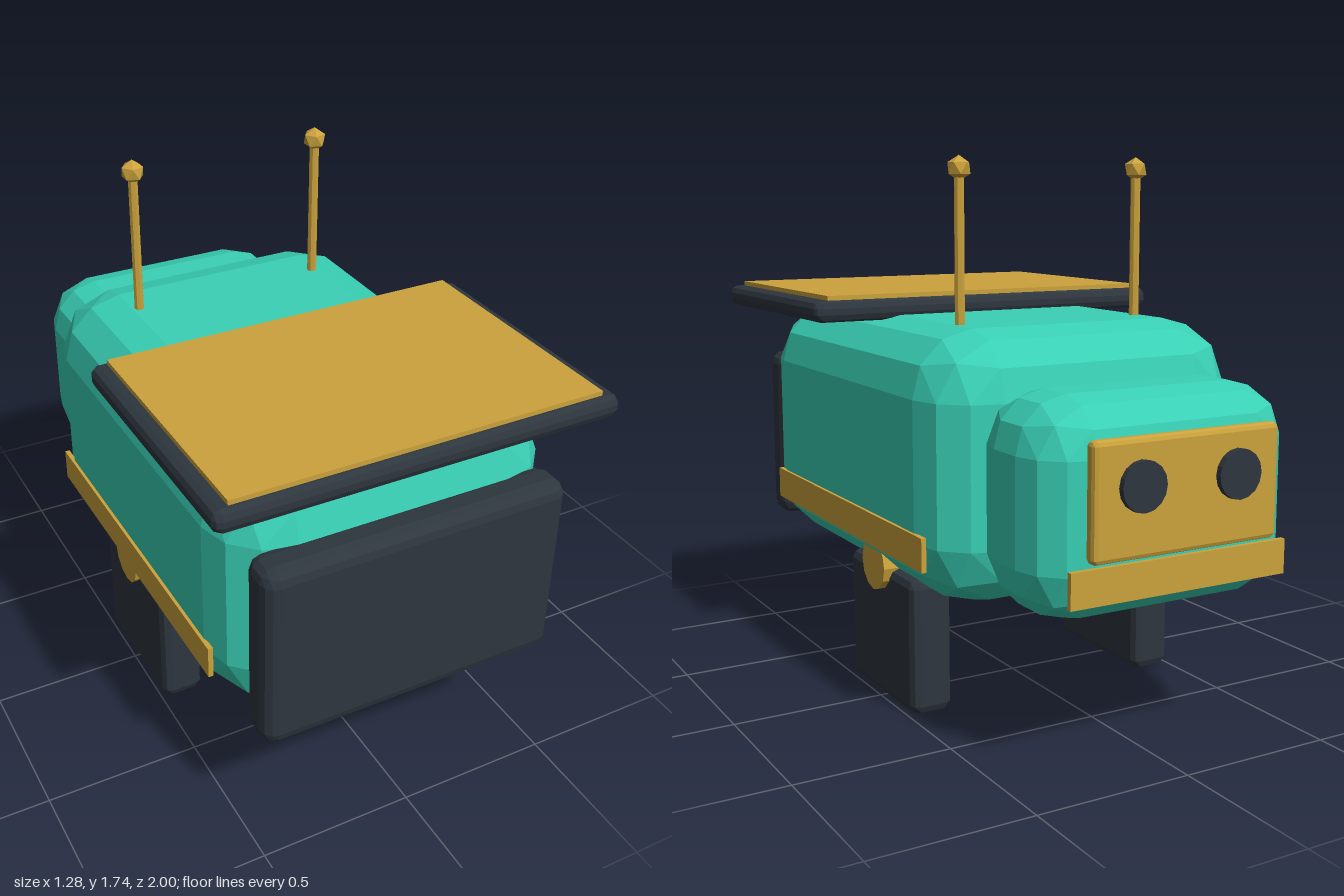
import * as THREE from 'three';
import { ConvexGeometry } from 'three/addons/geometries/ConvexGeometry.js';

const mat = (name, color) => {
  const m = new THREE.MeshStandardMaterial({ color, flatShading: true });
  m.name = name;
  return m;
};

// Box between two corners with edges rounded in n steps
function bevelBox(min, max, r, n) {
  const lo = new THREE.Vector3(...min), hi = new THREE.Vector3(...max);
  const c = lo.clone().add(hi).multiplyScalar(0.5);
  const h = hi.clone().sub(lo).multiplyScalar(0.5).subScalar(r);
  const s = (i) => Math.sin((i / n) * Math.PI / 2);
  const points = [];
  for (const sx of [-1, 1]) for (const sy of [-1, 1]) for (const sz of [-1, 1])
    for (let i = 0; i <= n; i++) for (let j = 0; j <= n - i; j++) {
      const p = new THREE.Vector3(s(i), s(j), s(n - i - j)).normalize().multiplyScalar(r).add(h);
      points.push(p.multiply(new THREE.Vector3(sx, sy, sz)).add(c));
    }
  return new ConvexGeometry(points);
}

function plainBox(min, max) {
  const size = max.map((v, i) => v - min[i]);
  return new THREE.BoxGeometry(...size).translate(...max.map((v, i) => (v + min[i]) / 2));
}

export function createModel() {
  const group = new THREE.Group();
  const teal = mat('teal shell', 0x39d0b5);
  const dark = mat('dark slate', 0x2e363e);
  const gold = mat('gold trim', 0xcba23c);

  const add = (name, geometry, material) => {
    const mesh = new THREE.Mesh(geometry, material);
    mesh.name = name;
    group.add(mesh);
    return mesh;
  };

  // Body and head
  add('body', bevelBox([-0.545, 0.4, -0.56], [0.545, 1.235, 0.9], 0.2, 3), teal);
  add('head', bevelBox([-0.44, 0.45, -0.94], [0.44, 1.09, -0.5], 0.16, 3), teal);

  // Large end panel and roof panel
  add('endPanel', bevelBox([-0.495, 0.425, 0.86], [0.495, 1.04, 1], 0.045, 3), dark);
  add('roofPanel', bevelBox([-0.64, 1.22, 0.135], [0.64, 1.29, 1], 0.025, 2), dark);
  add('roofPlate', plainBox([-0.59, 1.285, 0.16], [0.59, 1.305, 0.97]), gold);

  // Face
  add('facePlate', bevelBox([-0.315, 0.65, -0.98], [0.315, 0.99, -0.935], 0.015, 2), gold);
  add('chinStrip', plainBox([-0.37, 0.53, -0.955], [0.37, 0.635, -0.938]), gold);

  // Bar joining the legs
  add('legBar', bevelBox([-0.36, 0.355, -0.19], [0.36, 0.45, 0.21], 0.02, 2), dark);

  for (const [side, s] of [['left', 1], ['right', -1]]) {
    // Leg and hip joint
    const leg = bevelBox([-0.07, 0, -0.235], [0.07, 0.443, 0.255], 0.03, 2);
    add(side + 'Leg', leg, dark).position.x = s * 0.422;
    const hip = new THREE.CylinderGeometry(0.085, 0.085, 0.08, 12).rotateZ(Math.PI / 2);
    add(side + 'Hip', hip, gold).position.set(s * 0.475, 0.447, 0.01);

    // Side stripe
    const stripe = plainBox([-0.008, 0.53, -0.43], [0.008, 0.635, 0.75]);
    add(side + 'Stripe', stripe, gold).position.x = s * 0.547;

    // Eye
    const eye = new THREE.CylinderGeometry(0.073, 0.073, 0.03, 16).rotateX(Math.PI / 2);
    add(side + 'Eye', eye, dark).position.set(s * 0.163, 0.857, -0.985);

    // Antenna with a faceted tip
    const rod = new THREE.CylinderGeometry(0.016, 0.016, 0.5, 8);
    add(side + 'Antenna', rod, gold).position.set(s * 0.322, 1.45, -0.238);
    const tip = new THREE.IcosahedronGeometry(0.039, 0).rotateZ(Math.atan(2 / (1 + Math.sqrt(5))));
    add(side + 'AntennaTip', tip, gold).position.set(s * 0.322, 1.705, -0.238);
  }
  return group;
}
